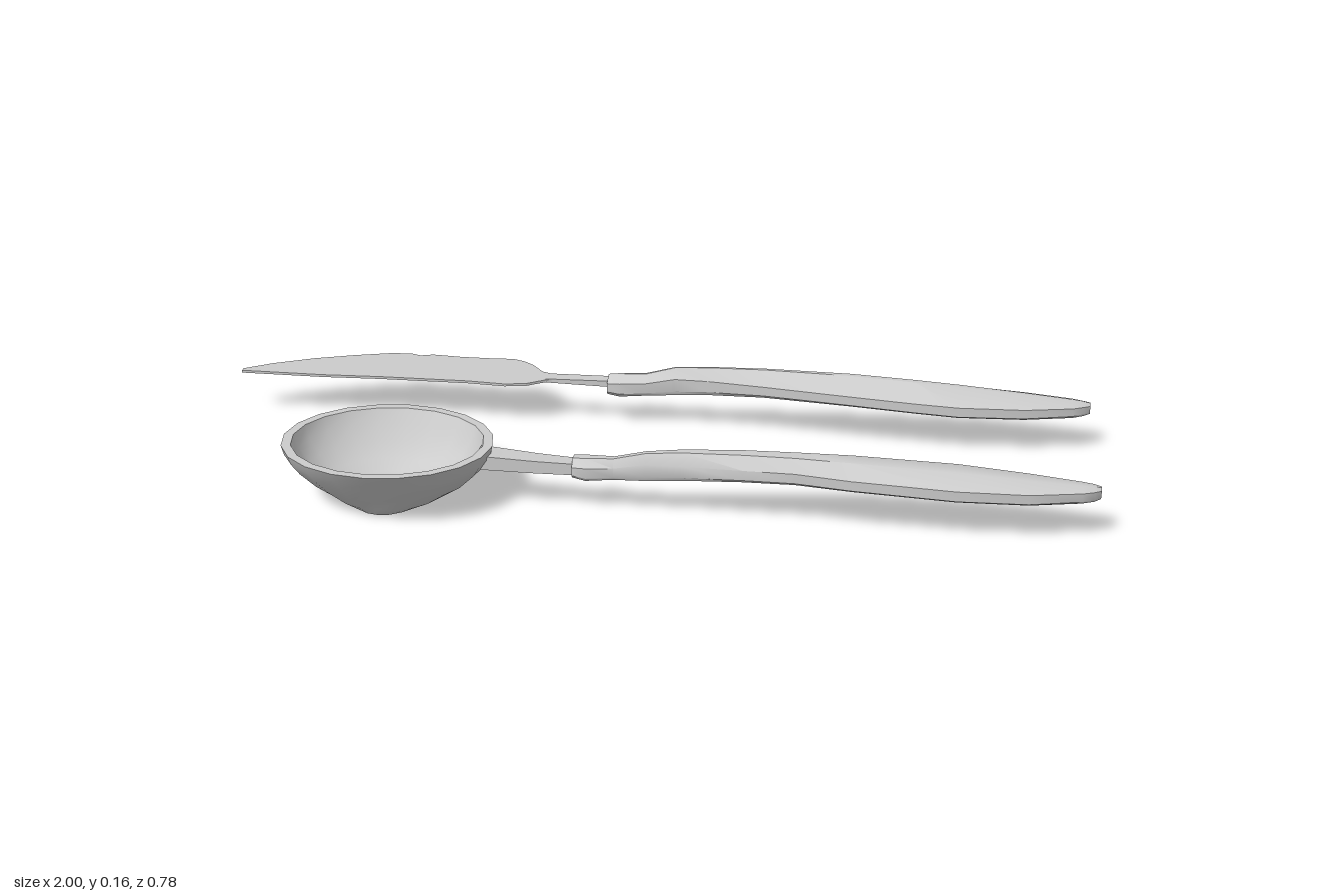
import * as THREE from 'three';
import { toCreasedNormals } from 'three/addons/utils/BufferGeometryUtils.js';

const material = new THREE.MeshStandardMaterial({ color: 0xcccccc, side: THREE.DoubleSide });

// Skin a list of equal-length rings of [x, y, z] points and cap both ends
function loft(name, rings, crease = 0.6) {
  const n = rings[0].length, last = (rings.length - 1) * n, index = [];
  for (let i = 0; i < rings.length - 1; i++) {
    for (let j = 0; j < n; j++) {
      const k = (j + 1) % n, a = i * n + j, b = i * n + k;
      index.push(a, b, b + n, a, b + n, a + n);
    }
  }
  for (let j = 1; j < n - 1; j++) {
    index.push(0, j + 1, j, last, last + j, last + j + 1);
  }
  const geometry = new THREE.BufferGeometry();
  geometry.setAttribute('position', new THREE.Float32BufferAttribute(rings.flat(2), 3));
  geometry.setIndex(index);
  const mesh = new THREE.Mesh(toCreasedNormals(geometry, crease), material);
  mesh.name = name;
  return mesh;
}

// Handle section: flat bottom, upright sides, roofed top with its ridge at zr
function handleRing([x, z0, z1, y0, ys, y1, zr], flat) {
  const c = (z1 - z0) * 0.1, h = (ys - y0) * 0.25;
  const f0 = (zr - z0) * flat, f1 = (z1 - zr) * flat;
  return [
    [x, y0, z1 - c], [x, y0, z0 + c], [x, y0 + h, z0], [x, ys, z0],
    [x, y1, zr - f0], [x, y1, zr + f1], [x, ys, z1], [x, y0 + h, z1],
  ];
}

// Rectangular section for the necks
const boxRing = (x, z0, z1, y0, y1) => [[x, y0, z1], [x, y0, z0], [x, y1, z0], [x, y1, z1]];

// Elliptical ring of the bowl at height y
function bowlRing(y, a, b, n = 20) {
  return Array.from({ length: n }, (_, i) => {
    const t = (i / n) * Math.PI * 2;
    return [-0.53 + a * Math.cos(t), y, 0.19 - b * Math.sin(t)];
  });
}

function createScoop() {
  const scoop = new THREE.Group();
  scoop.name = 'scoop';

  // Bowl: outside from the base up, across the rim, then down the inside
  scoop.add(loft('bowl', [
    [0, 0.03, 0.095], [0.004, 0.08, 0.105], [0.02, 0.125, 0.115], [0.05, 0.175, 0.137],
    [0.085, 0.212, 0.163], [0.11, 0.228, 0.182], [0.135, 0.233, 0.2],
    [0.135, 0.212, 0.18], [0.105, 0.203, 0.162], [0.07, 0.178, 0.14],
    [0.04, 0.14, 0.115], [0.022, 0.09, 0.09], [0.015, 0.035, 0.05],
  ].map((r) => bowlRing(...r)), 0.7));

  scoop.add(loft('scoopNeck', [
    boxRing(-0.33, 0.153, 0.212, 0.088, 0.12),
    boxRing(-0.2, 0.163, 0.207, 0.085, 0.113),
    boxRing(-0.08, 0.172, 0.203, 0.085, 0.11),
  ]));

  // Handle stations: x, back z, front z, bottom, side top, ridge, ridge z
  scoop.add(loft('scoopHandle', [
    [-0.12, 0.158, 0.21, 0.08, 0.105, 0.121, 0.185],
    [-0.09, 0.156, 0.216, 0.076, 0.107, 0.123, 0.187],
    [-0.03, 0.17, 0.208, 0.08, 0.108, 0.126, 0.19],
    [0.04, 0.175, 0.21, 0.083, 0.122, 0.144, 0.192],
    [0.12, 0.161, 0.214, 0.09, 0.125, 0.15, 0.188],
    [0.25, 0.143, 0.22, 0.097, 0.127, 0.153, 0.185],
    [0.36, 0.13, 0.219, 0.097, 0.126, 0.152, 0.182],
    [0.48, 0.116, 0.232, 0.094, 0.123, 0.15, 0.18],
    [0.7, 0.108, 0.238, 0.087, 0.117, 0.142, 0.175],
    [0.85, 0.12, 0.227, 0.086, 0.114, 0.131, 0.172],
    [0.96, 0.138, 0.198, 0.087, 0.112, 0.121, 0.167],
    [0.985, 0.146, 0.186, 0.088, 0.111, 0.118, 0.165],
    [1, 0.157, 0.172, 0.09, 0.109, 0.115, 0.164],
  ].map((s) => handleRing(s, 0.35))));
  return scoop;
}

function createKnife() {
  const knife = new THREE.Group();
  knife.name = 'knife';

  // Blade outline as [x, z], with a small notch in the back edge
  const outline = [
    [-1, -0.225], [-1, -0.238], [-0.94, -0.28], [-0.85, -0.326], [-0.76, -0.36], [-0.67, -0.388],
    [-0.62, -0.39], [-0.6, -0.382], [-0.57, -0.392], [-0.5, -0.387], [-0.43, -0.388], [-0.37, -0.392],
    [-0.34, -0.38], [-0.315, -0.36], [-0.285, -0.322], [-0.25, -0.307],
    [-0.25, -0.277], [-0.27, -0.27], [-0.31, -0.242], [-0.36, -0.232],
    [-0.45, -0.238], [-0.66, -0.234], [-0.8, -0.226],
  ];
  const shape = new THREE.Shape(outline.map(([x, z]) => new THREE.Vector2(x, -z)));
  const geometry = new THREE.ExtrudeGeometry(shape, { depth: 0.006, bevelEnabled: false });
  geometry.rotateX(-Math.PI / 2).translate(0, 0.1, 0);
  const blade = new THREE.Mesh(geometry, material);
  blade.name = 'blade';
  knife.add(blade);

  knife.add(loft('knifeNeck', [
    boxRing(-0.27, -0.31, -0.275, 0.098, 0.107),
    boxRing(-0.08, -0.309, -0.277, 0.094, 0.11),
  ]));

  // Handle stations: x, back z, front z, bottom, side top, ridge, ridge z
  knife.add(loft('knifeHandle', [
    [-0.12, -0.318, -0.264, 0.08, 0.108, 0.121, -0.291],
    [-0.09, -0.326, -0.26, 0.076, 0.11, 0.124, -0.292],
    [-0.03, -0.32, -0.266, 0.08, 0.112, 0.128, -0.292],
    [0.04, -0.311, -0.274, 0.083, 0.124, 0.148, -0.292],
    [0.12, -0.315, -0.268, 0.09, 0.126, 0.153, -0.29],
    [0.25, -0.325, -0.252, 0.097, 0.126, 0.157, -0.287],
    [0.45, -0.342, -0.23, 0.095, 0.123, 0.156, -0.284],
    [0.6, -0.35, -0.219, 0.09, 0.119, 0.15, -0.281],
    [0.7, -0.354, -0.214, 0.087, 0.117, 0.144, -0.281],
    [0.85, -0.34, -0.23, 0.086, 0.114, 0.133, -0.283],
    [0.96, -0.322, -0.26, 0.087, 0.112, 0.122, -0.289],
    [0.985, -0.314, -0.275, 0.088, 0.111, 0.118, -0.292],
    [1, -0.303, -0.288, 0.09, 0.109, 0.115, -0.295],
  ].map((s) => handleRing(s, 0.12)), 0.45));
  return knife;
}

export function createModel() {
  const model = new THREE.Group();
  model.name = 'servingSet';
  model.add(createScoop(), createKnife());
  return model;
}
